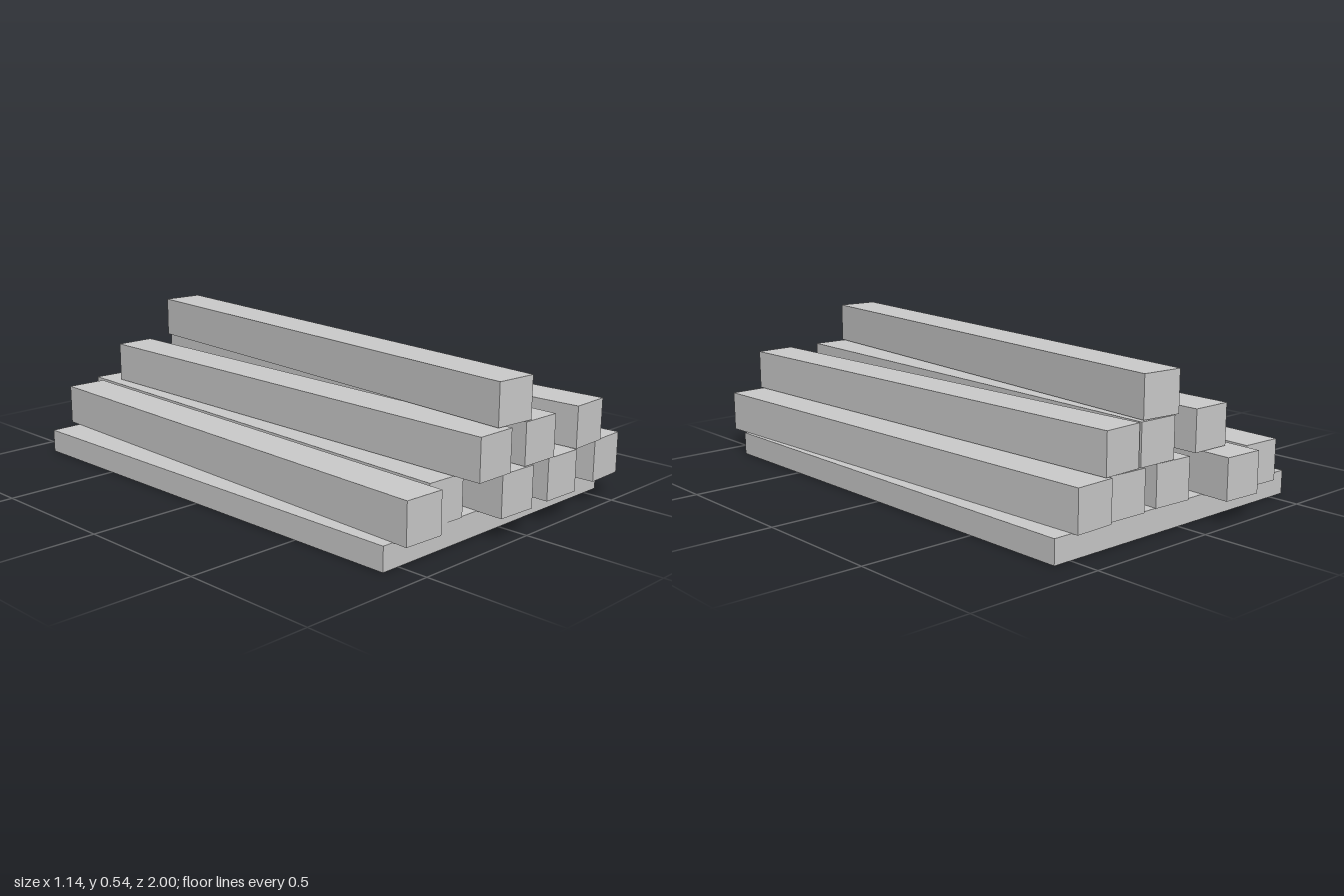
import * as THREE from 'three';

const material = new THREE.MeshStandardMaterial({ color: 0xcccccc, flatShading: true });

const SIZE = 0.154;     // beam width
const HEIGHT = 0.149;   // beam height
const LENGTH = 1.884;   // beam length

// Stacked layers: each beam is [x of front end, x of back end, middle z]
const layers = [
  { name: 'bottomBeam', y: 0.085, beams: [
    [-0.452, -0.367, 0.004],
    [-0.279, -0.193, -0.054],
    [-0.048, 0.038, 0.05],
    [0.197, 0.254, 0.05],
    [0.483, 0.417, 0.035],
  ] },
  { name: 'middleBeam', y: 0.236, beams: [
    [-0.177, -0.154, 0.055],
    [0.064, 0.118, 0.05],
    [0.348, 0.282, 0.049],
  ] },
  { name: 'topBeam', y: 0.388, beams: [
    [-0.066, 0.107, 0.045],
  ] },
];

function makeBox(name, w, h, d, bottom) {
  const mesh = new THREE.Mesh(new THREE.BoxGeometry(w, h, d), material);
  mesh.name = name;
  mesh.position.y = bottom + h / 2;
  return mesh;
}

export function createModel() {
  const group = new THREE.Group();
  group.name = 'beamStack';

  // Flat base slab
  group.add(makeBox('base', 1.138, 0.086, 1.77, 0));

  // Slightly skewed beams piled in a pyramid
  for (const { name, y, beams } of layers) {
    beams.forEach(([front, back, z], i) => {
      const beam = makeBox(name + (i + 1), SIZE, HEIGHT, LENGTH, y);
      beam.position.x = (front + back) / 2;
      beam.position.z = z;
      beam.rotation.y = Math.asin((front - back) / LENGTH);
      group.add(beam);
    });
  }
  return group;
}
